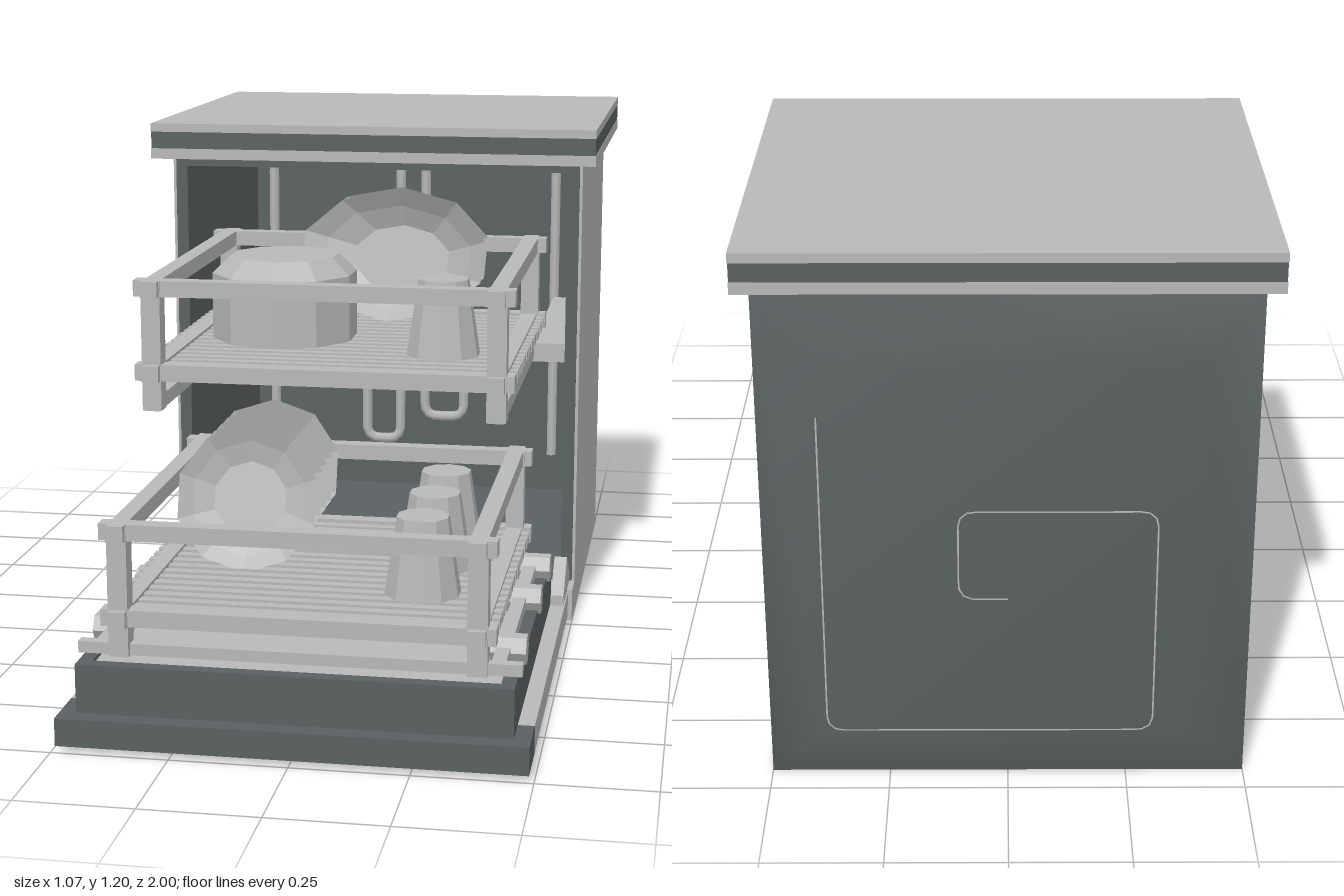
import * as THREE from 'three';

const light = new THREE.MeshStandardMaterial({ color: 0xb8b8b8, side: THREE.DoubleSide });
light.name = 'light grey';
const dark = new THREE.MeshStandardMaterial({ color: 0x5a6061 });
dark.name = 'dark grey';

function add(parent, name, geo, mat, x = 0, y = 0, z = 0) {
  const m = new THREE.Mesh(geo, mat);
  m.name = name;
  m.position.set(x, y, z);
  parent.add(m);
  return m;
}

// Box given by its limits on each axis
function box(parent, name, mat, x0, x1, y0, y1, z0, z1) {
  return add(parent, name, new THREE.BoxGeometry(x1 - x0, y1 - y0, z1 - z0), mat,
    (x0 + x1) / 2, (y0 + y1) / 2, (z0 + z1) / 2);
}

// The same box on both sides of x = 0
function pair(parent, name, mat, x0, x1, y0, y1, z0, z1) {
  box(parent, name, mat, x0, x1, y0, y1, z0, z1);
  box(parent, name, mat, -x1, -x0, y0, y1, z0, z1);
}

function flat(geo) {
  const g = geo.index ? geo.toNonIndexed() : geo;
  g.computeVertexNormals();
  return g;
}

// Pipe through x, y points with rounded corners in a plane of constant z
function pipe(parent, name, pts, z, r) {
  const v = pts.map(([x, y]) => new THREE.Vector3(x, y, z));
  const path = new THREE.CurvePath();
  let from = v[0];
  for (let i = 1; i < v.length - 1; i++) {
    const a = v[i].clone().add(v[i - 1].clone().sub(v[i]).setLength(0.035));
    const b = v[i].clone().add(v[i + 1].clone().sub(v[i]).setLength(0.035));
    path.add(new THREE.LineCurve3(from, a));
    path.add(new THREE.QuadraticBezierCurve3(a, v[i], b));
    from = b;
  }
  path.add(new THREE.LineCurve3(from, v[v.length - 1]));
  add(parent, name, new THREE.TubeGeometry(path, 140, r, 6), light);
}

function buildCabinet() {
  const g = new THREE.Group();
  g.name = 'cabinet';
  pair(g, 'sidePanel', light, 0.492, 0.5, 0, 1.115, -0.935, -0.1);
  pair(g, 'sideLiner', dark, 0.465, 0.493, 0.08, 1.115, -0.93, -0.098);
  box(g, 'roofLiner', dark, -0.47, 0.47, 1.09, 1.115, -0.93, -0.098);
  box(g, 'backLiner', dark, -0.47, 0.47, 0.08, 1.1, -0.934, -0.9);
  box(g, 'base', light, -0.5, 0.5, 0.003, 0.08, -0.935, -0.02);
  box(g, 'tubFloor', dark, -0.47, 0.47, 0.08, 0.095, -0.92, -0.1);
  for (const z of [-0.855, -0.16]) pair(g, 'foot', dark, 0.415, 0.445, 0, 0.01, z - 0.015, z + 0.015);

  // Worktop in three layers
  box(g, 'worktopLower', light, -0.535, 0.535, 1.115, 1.14, -0.965, -0.02);
  box(g, 'worktopMiddle', dark, -0.534, 0.534, 1.14, 1.18, -0.964, -0.021);
  box(g, 'worktopUpper', light, -0.535, 0.535, 1.18, 1.2, -0.965, -0.02);

  // Softly shaded bulging back
  const ring = (x, y0, y1, z) => [x, y0, z, -x, y0, z, -x, y1, z, x, y1, z];
  const back = new THREE.BufferGeometry();
  back.setAttribute('position', new THREE.Float32BufferAttribute(
    [...ring(0.5, 0, 1.115, -0.935), ...ring(0.385, 0.13, 0.98, -0.999)], 3));
  const idx = [4, 5, 6, 4, 6, 7];
  for (let i = 0; i < 4; i++) {
    const j = (i + 1) % 4;
    idx.push(i, j, j + 4, i, j + 4, i + 4);
  }
  back.setIndex(idx);
  back.computeVertexNormals();
  add(g, 'backPanel', back, dark);
  pipe(g, 'backPipe', [[0.375, 0.87], [0.375, 0.145], [-0.3, 0.145], [-0.3, 0.66], [0.1, 0.66], [0.1, 0.46], [0, 0.46]], -0.988, 0.012);

  // Pipes on the inner back wall
  pipe(g, 'innerPipe', [[-0.415, 0.2], [-0.415, 1.03], [-0.055, 1.03], [-0.055, 0.23], [-0.15, 0.23], [-0.15, 0.75]], -0.89, 0.014);
  pipe(g, 'innerPipe', [[0.375, 0.2], [0.375, 1.03], [0.015, 1.03], [0.015, 0.3], [0.125, 0.3], [0.125, 0.75]], -0.89, 0.014);
  return g;
}

function buildDoor() {
  const g = new THREE.Group();
  g.name = 'openDoor';
  box(g, 'doorPanel', light, -0.49, 0.49, 0.015, 0.075, -0.02, 0.88);
  box(g, 'doorEdge', dark, -0.49, 0.49, 0.015, 0.075, 0.88, 1);
  // Dark liner frame round a light inner plate
  pair(g, 'linerSide', dark, 0.425, 0.455, 0.075, 0.18, 0.07, 0.96);
  box(g, 'linerFront', dark, -0.425, 0.425, 0.075, 0.18, 0.93, 0.96);
  box(g, 'linerRear', dark, -0.425, 0.425, 0.075, 0.18, 0.07, 0.1);
  box(g, 'innerPlate', light, -0.425, 0.425, 0.075, 0.172, 0.1, 0.93);

  // Handle recess shown on the underside
  const s = new THREE.Shape();
  s.moveTo(-0.17, 0.87);
  s.lineTo(-0.15, 0.835);
  s.quadraticCurveTo(0, 0.78, 0.15, 0.835);
  s.lineTo(0.17, 0.87);
  s.lineTo(0.17, 0.9);
  s.lineTo(-0.17, 0.9);
  const recess = add(g, 'handleRecess', new THREE.ExtrudeGeometry(s, { depth: 0.006, bevelEnabled: false }), dark, 0, 0.018, 0);
  recess.rotation.x = Math.PI / 2;

  // Hinges, extruded along x
  const h = new THREE.Shape([[-0.09, 0.07], [0.1, 0.07], [0.1, 0.1], [0, 0.17], [-0.09, 0.1]].map(p => new THREE.Vector2(...p)));
  for (const x of [0.457, -0.487]) {
    const m = add(g, 'hinge', new THREE.ExtrudeGeometry(h, { depth: 0.03, bevelEnabled: false }), light, x, 0, 0);
    m.rotation.y = Math.PI / 2;
    m.position.x = x;
  }
  return g;
}

// Rack with its slat level at y and its front at z
function buildRack(name, y, z) {
  const g = new THREE.Group();
  g.name = name;
  const back = z - 0.82;
  for (const [y0, y1] of [[y, y + 0.036], [y + 0.185, y + 0.22]]) {
    pair(g, 'sideRail', light, 0.355, 0.392, y0, y1, back, z);
    box(g, 'frontRail', light, -0.412, 0.412, y0, y1, z - 0.055, z - 0.018);
    box(g, 'rearRail', light, -0.412, 0.412, y0, y1, back + 0.018, back + 0.055);
  }
  for (const zz of [z - 0.037, back + 0.037])
    pair(g, 'post', light, 0.353, 0.395, y - 0.065, y + 0.22, zz - 0.021, zz + 0.021);
  for (let i = 0; i < 17; i++) {
    const zz = z - 0.08 - i * 0.0415;
    box(g, 'slat', light, -0.41, 0.41, y + 0.006, y + 0.03, zz - 0.012, zz + 0.012);
  }
  return g;
}

function cup(parent, x, y, z) {
  add(parent, 'cup', flat(new THREE.CylinderGeometry(0.057, 0.083, 0.17, 10)), light, x, y + 0.085, z);
}

// Ten-sided dish facing +z, leaning back
function plate(parent, name, r, depth, x, y, z, tilt, turn, squash = 1) {
  const prof = [[0, 0], [0.55, 0], [0.88, 0.5], [1, 1], [0.8, 0.62], [0.52, 0.25], [0, 0.25]];
  const geo = new THREE.LatheGeometry(prof.map(([a, b]) => new THREE.Vector2(a * r, b * depth)), 10);
  geo.rotateX(Math.PI / 2);
  geo.scale(1, squash, 1);
  const m = add(parent, name, flat(geo), light, x, y, z);
  m.rotation.set(tilt, turn, 0, 'YXZ');
}

export function createModel() {
  const model = new THREE.Group();
  model.name = 'dishwasher';
  model.add(buildCabinet(), buildDoor());

  // Lower rack on hexagonal wheels
  const lower = buildRack('lowerRack', 0.25, 0.93);
  pair(lower, 'wheelRail', light, 0.4, 0.43, 0.185, 0.21, 0.12, 0.9);
  box(lower, 'axleBar', light, -0.465, 0.465, 0.185, 0.21, 0.875, 0.9);
  for (const z of [0.77, 0.43, 0.19]) for (const x of [-0.425, 0.425]) {
    const w = add(lower, 'wheel', flat(new THREE.CylinderGeometry(0.033, 0.033, 0.075, 6)), light, x, 0.2, z);
    w.rotation.z = Math.PI / 2;
  }
  for (const z of [0.68, 0.49, 0.3]) cup(lower, 0.23, 0.283, z);
  for (let i = 0; i < 5; i++) plate(lower, 'plate', 0.163, 0.05, -0.185, 0.415, 0.48 - i * 0.066, -0.28, 0);

  // Upper rack on sliding rails
  const upper = buildRack('upperRack', 0.705, 0.625);
  pair(upper, 'slideRail', light, 0.358, 0.39, 0.638, 0.67, -0.19, 0.605);
  pair(upper, 'slideGuide', light, 0.385, 0.467, 0.63, 0.675, -0.75, -0.1);
  cup(upper, 0.23, 0.738, 0.37);
  add(upper, 'potBody', flat(new THREE.CylinderGeometry(0.167, 0.167, 0.15, 10)), light, -0.157, 0.815, 0.225);
  add(upper, 'potBase', flat(new THREE.CylinderGeometry(0.125, 0.167, 0.04, 10)), light, -0.157, 0.91, 0.225);
  for (const z of [0.015, -0.055]) plate(upper, 'servingDish', 0.24, 0.08, 0.09, 0.89, z, -0.25, -0.26, 0.64);

  model.add(lower, upper);
  return model;
}
